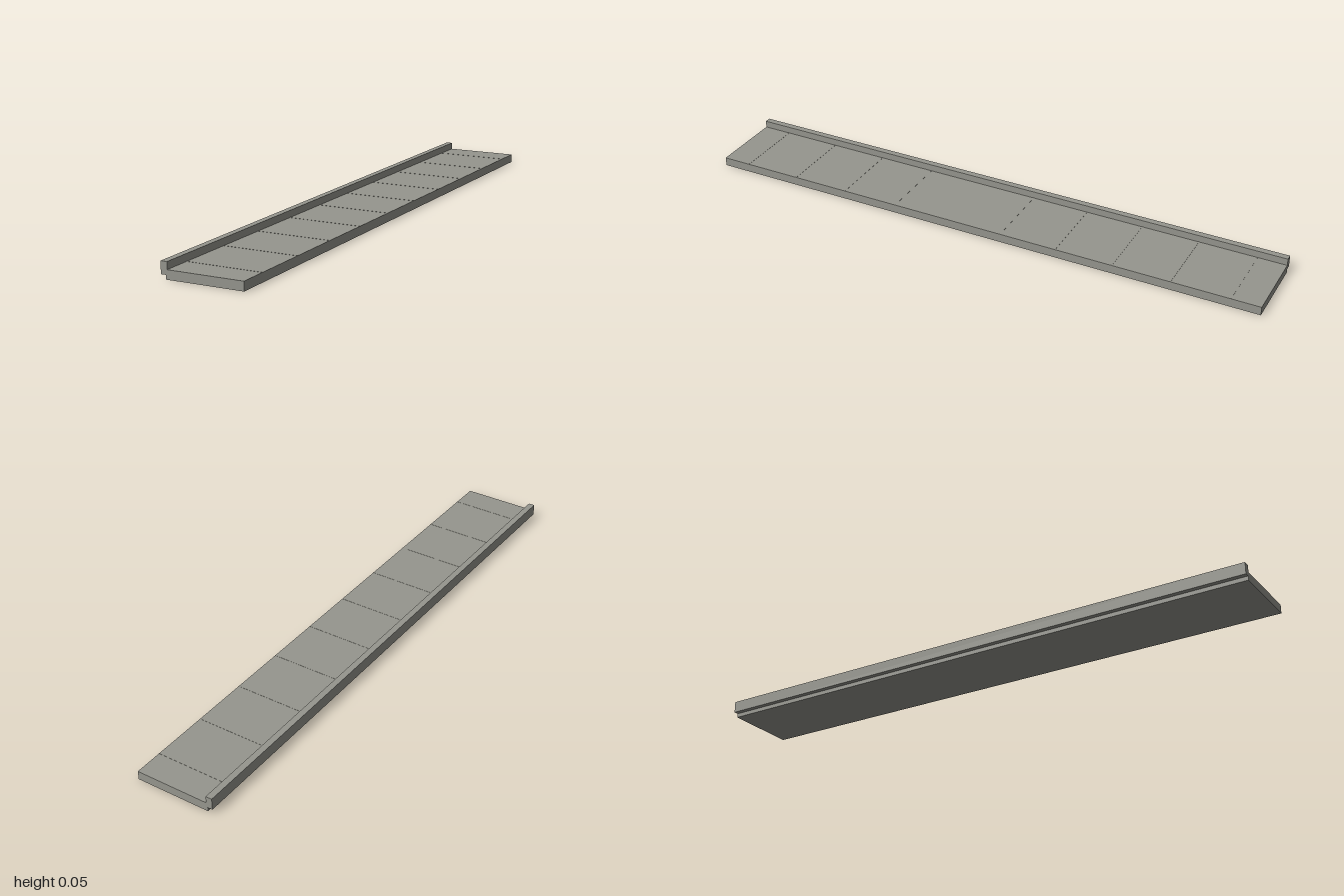
import * as THREE from 'three';

export function createModel() {
  const model = new THREE.Group();
  model.name = 'walkway';
  const concrete = new THREE.MeshStandardMaterial({ color: 0x96968e });
  concrete.name = 'grey concrete';

  // Box given by its x and y limits, its length and its middle in z
  function slab(name, x0, x1, y0, y1, length, z = 0) {
    const mesh = new THREE.Mesh(new THREE.BoxGeometry(x1 - x0, y1 - y0, length), concrete);
    mesh.name = name;
    mesh.position.set((x0 + x1) / 2, (y0 + y1) / 2, z);
    model.add(mesh);
  }

  // Long flat deck
  slab('deck', -0.122, 0.139, 0, 0.03, 2);

  // Raised kerb along the right edge, overhanging the deck
  slab('kerb', -0.139, -0.117, 0.014, 0.054, 2);

  // Ten hairline joints across the deck
  for (let i = 0; i < 10; i++) {
    slab('joint', -0.117, 0.139, 0.03, 0.0306, 0.003, 0.9 - i * 0.2);
  }

  return model;
}
